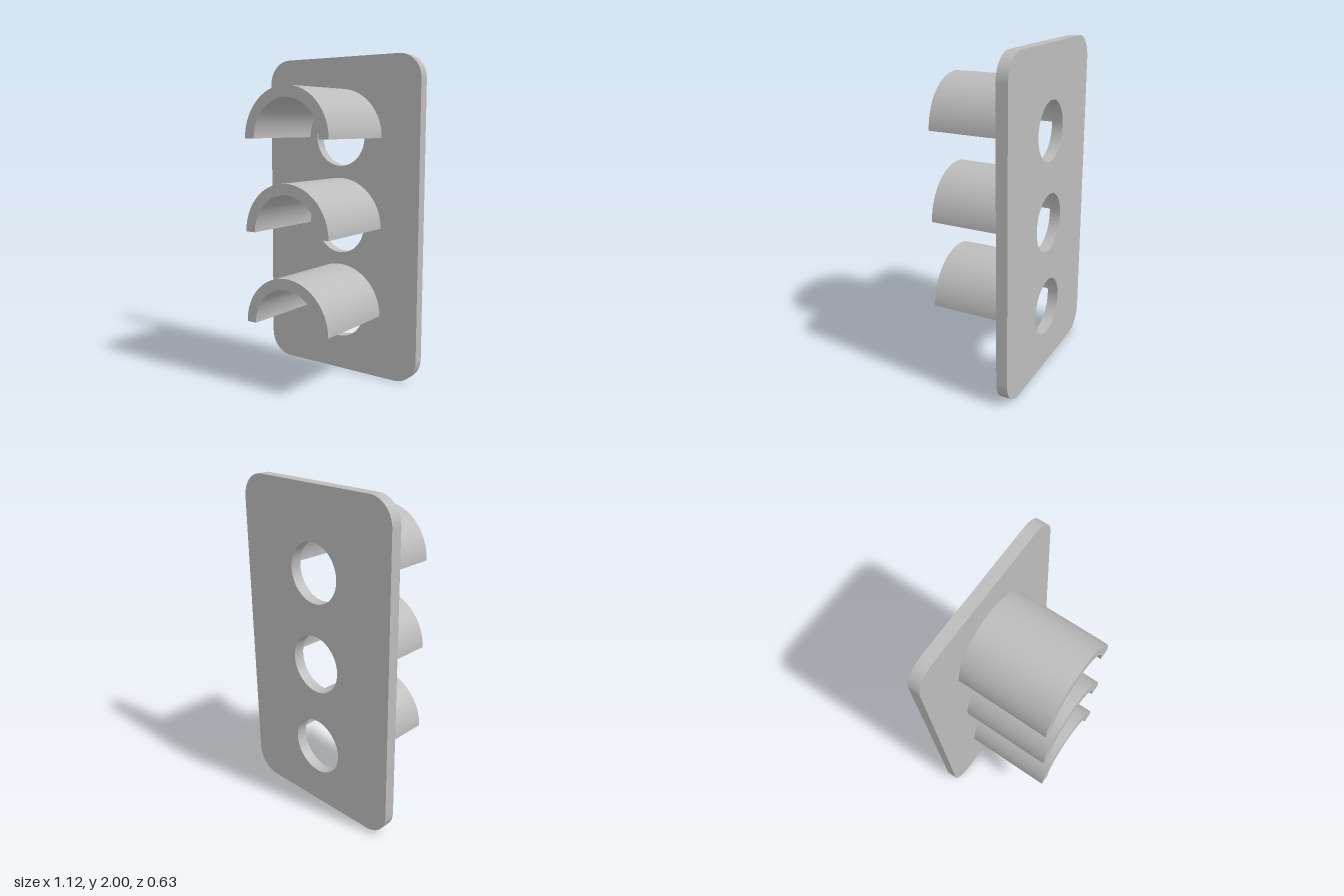
import * as THREE from 'three';
import { toCreasedNormals } from 'three/addons/utils/BufferGeometryUtils.js';

const LAMP_HEIGHTS = [0.395, 0.95, 1.505];
const BACK = -0.313, PLATE_FRONT = -0.245, FRONT = 0.313;

// Extrude a shape between two z positions, smooth curves and sharp edges
function extrude(shape, z0, z1, curveSegments) {
  const geo = new THREE.ExtrudeGeometry(shape, { depth: z1 - z0, bevelEnabled: false, curveSegments });
  geo.translate(0, 0, z0);
  return toCreasedNormals(geo, Math.PI / 5);
}

// Rounded upright plate with three round holes
function plateShape() {
  const w = 0.56, h = 2, r = 0.15;
  const s = new THREE.Shape();
  s.absarc(w - r, r, r, -Math.PI / 2, 0);
  s.absarc(w - r, h - r, r, 0, Math.PI / 2);
  s.absarc(-w + r, h - r, r, Math.PI / 2, Math.PI);
  s.absarc(-w + r, r, r, Math.PI, Math.PI * 1.5);
  s.closePath();
  for (const y of LAMP_HEIGHTS) {
    s.holes.push(new THREE.Path().absarc(0, y, 0.178, 0, Math.PI * 2, true));
  }
  return s;
}

// Half-ring section of a hood
function hoodShape() {
  const s = new THREE.Shape();
  s.absarc(0, 0, 0.301, 0, Math.PI, false);
  s.absarc(0, 0, 0.234, Math.PI, 0, true);
  s.closePath();
  return s;
}

export function createModel() {
  const model = new THREE.Group();
  model.name = 'hoodedPlate';
  const grey = new THREE.MeshStandardMaterial({ color: 0xbcbcbc });
  grey.name = 'grey';

  const plate = new THREE.Mesh(extrude(plateShape(), BACK, PLATE_FRONT, 32), grey);
  plate.name = 'backPlate';
  model.add(plate);

  // One hood over each hole
  const hoodGeo = extrude(hoodShape(), PLATE_FRONT, FRONT, 40);
  LAMP_HEIGHTS.forEach((y, i) => {
    const hood = new THREE.Mesh(hoodGeo, grey);
    hood.name = ['lowerHood', 'middleHood', 'upperHood'][i];
    hood.position.y = y;
    model.add(hood);
  });
  return model;
}
